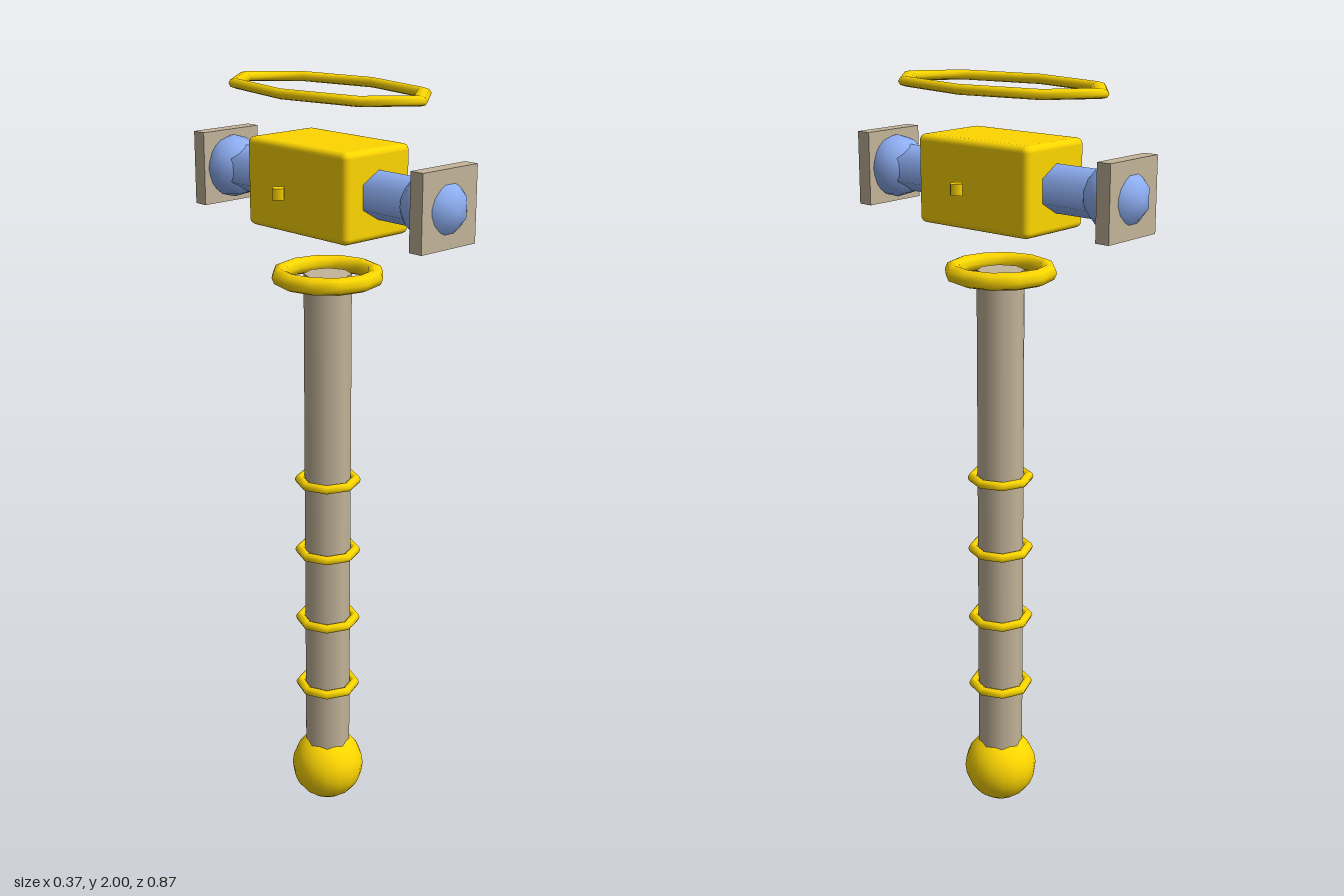
import * as THREE from 'three';
import { RoundedBoxGeometry } from 'three/addons/geometries/RoundedBoxGeometry.js';

const gold = new THREE.MeshStandardMaterial({ color: 0xffd700 });
const tan = new THREE.MeshStandardMaterial({ color: 0xc4b59a });
const blue = new THREE.MeshStandardMaterial({ color: 0x8fb0f5 });

export function createModel() {
  const model = new THREE.Group();
  const HEAD_Y = 1.755;

  const add = (name, geometry, material, x, y, z) => {
    const mesh = new THREE.Mesh(geometry, material);
    mesh.name = name;
    mesh.position.set(x, y, z);
    model.add(mesh);
    return mesh;
  };

  // Horizontal ring
  const ring = (name, radius, tube, sides, y) =>
    add(name, new THREE.TorusGeometry(radius, tube, 8, sides).rotateX(Math.PI / 2), gold, 0, y, 0);

  // Handle with pommel, grip rings and collar
  add('pommel', new THREE.SphereGeometry(0.1, 16, 12), gold, 0, 0.1, 0);
  add('handle', new THREE.CylinderGeometry(0.061, 0.061, 1.43, 8), tan, 0, 0.815, 0);
  for (let i = 0; i < 4; i++) ring('gripRing', 0.075, 0.0125, 8, 0.361 + i * 0.2035);
  ring('collar', 0.122, 0.0225, 12, 1.527);

  // Floating head block and the hexagonal bar through it
  add('headBlock', new RoundedBoxGeometry(0.22, 0.22, 0.354, 3, 0.016), gold, 0, HEAD_Y, 0);
  add('headBar', new THREE.CylinderGeometry(0.06, 0.06, 0.7, 6).rotateX(Math.PI / 2), blue, 0, HEAD_Y, 0);

  // Striking ends, front and back
  for (const s of [1, -1]) {
    add('strikerBall', new THREE.IcosahedronGeometry(0.081, 1), blue, 0, HEAD_Y, s * 0.356);
    add('strikerPlate', new THREE.BoxGeometry(0.183, 0.187, 0.039), tan, 0, HEAD_Y, s * 0.387);
  }

  // Four-sided studs beside the head
  for (const s of [1, -1]) {
    add('sideStud', new THREE.CylinderGeometry(0.02, 0.02, 0.028, 4), gold, s * 0.163, HEAD_Y, 0);
  }

  // Flattened eight-sided halo above the head
  ring('halo', 0.305, 0.025, 8, 1.988).scale.set(0.5, 0.5, 1);

  return model;
}
